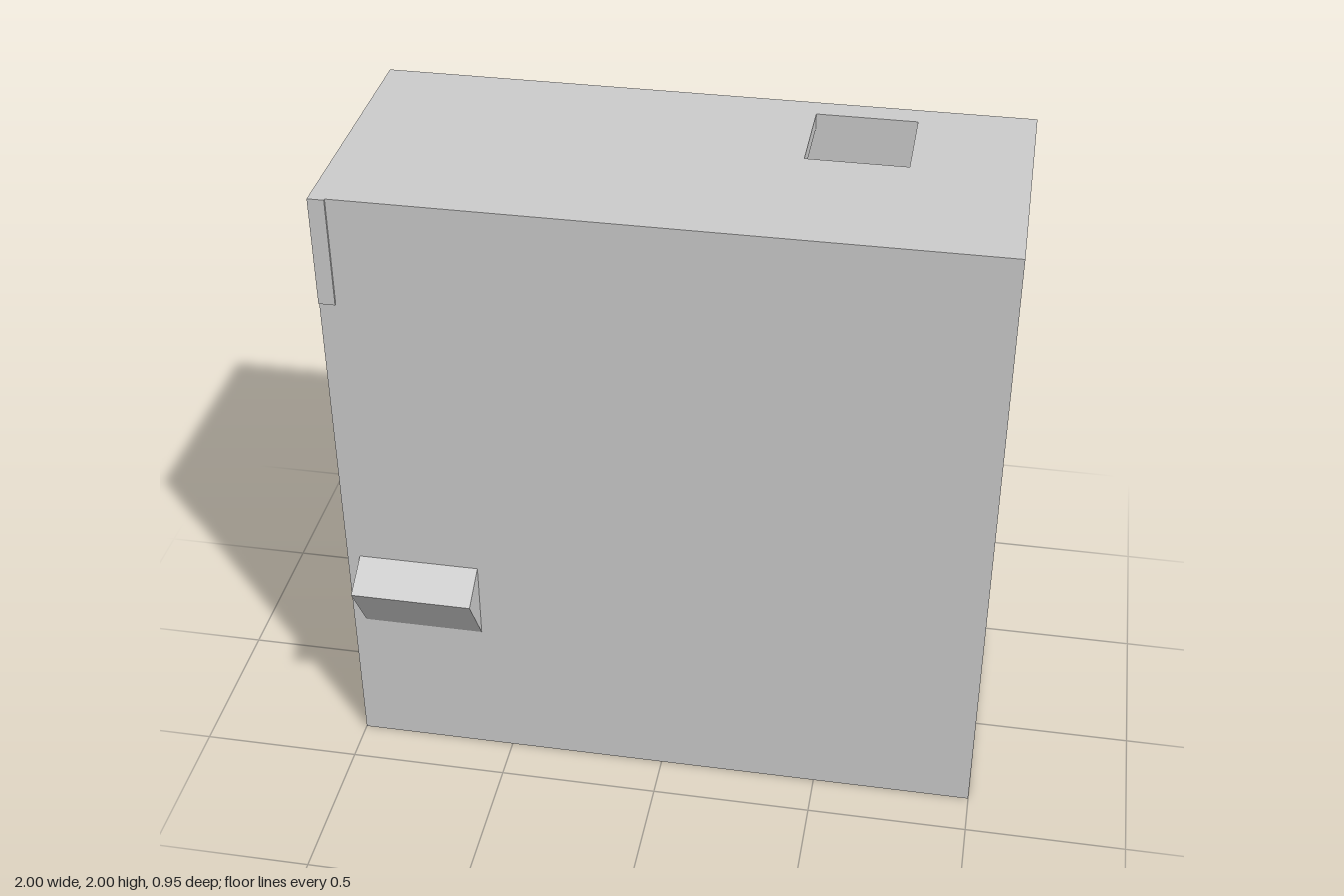
import * as THREE from 'three';

const W = 2, H = 2, BACK = -0.475, FRONT = 0.36;
const T = 0.05, BACK_T = 0.075;

export function createModel() {
  const model = new THREE.Group();
  const material = new THREE.MeshStandardMaterial({ color: 0xcccccc, flatShading: true });

  const add = (name, geometry, x = 0, y = 0, z = 0) => {
    const mesh = new THREE.Mesh(geometry, material);
    mesh.name = name;
    mesh.position.set(x, y, z);
    model.add(mesh);
  };

  const extrude = (points, depth, hole) => {
    const shape = new THREE.Shape(points.map(p => new THREE.Vector2(...p)));
    if (hole) shape.holes.push(new THREE.Path(hole.map(p => new THREE.Vector2(...p))));
    return new THREE.ExtrudeGeometry(shape, { depth, bevelEnabled: false });
  };
  const rect = (u0, u1, v0, v1) => [[u0, v0], [u1, v0], [u1, v1], [u0, v1]];
  const box = (name, x0, x1, y0, y1, z0, z1) => add(name,
    new THREE.BoxGeometry(x1 - x0, y1 - y0, z1 - z0),
    (x0 + x1) / 2, (y0 + y1) / 2, (z0 + z1) / 2);

  // Solid front and back walls
  box('frontWall', -W / 2, W / 2, 0, H, FRONT - T, FRONT);
  box('backWall', -W / 2, W / 2, 0, H, BACK, BACK + BACK_T);

  // Side walls, each with a window (shape plane z-y, thickness towards -x)
  const zIn = BACK + BACK_T, zOut = FRONT - T;
  for (const [name, x] of [['leftWall', W / 2], ['rightWall', -W / 2 + T]]) {
    const wall = extrude(rect(zIn, zOut, 0, H), T, rect(0.07, zOut - 0.002, 1.35, 1.655));
    add(name, wall.rotateY(-Math.PI / 2), x);
  }

  // Roof and floor, each with a hatch (shape plane x-z, thickness downwards)
  for (const [name, y] of [['roof', H], ['floor', T]]) {
    const slab = extrude(rect(-W / 2 + T, W / 2 - T, zIn, zOut), T,
      rect(0.345, 0.65, zIn + 0.002, -0.11));
    add(name, slab.rotateX(Math.PI / 2), 0, y);
  }

  // Slightly raised strip at the top corner of the front
  box('cornerStrip', -W / 2, -W / 2 + T, 1.655, H, FRONT, FRONT + 0.007);

  // Tilted block standing out of the front wall
  const ledge = extrude([[FRONT - 0.02, 0.725], [FRONT - 0.02, 0.47], [FRONT, 0.47],
    [0.475, 0.66], [FRONT, 0.727]], 0.38);
  add('frontLedge', ledge.rotateY(-Math.PI / 2), -0.58);

  return model;
}
